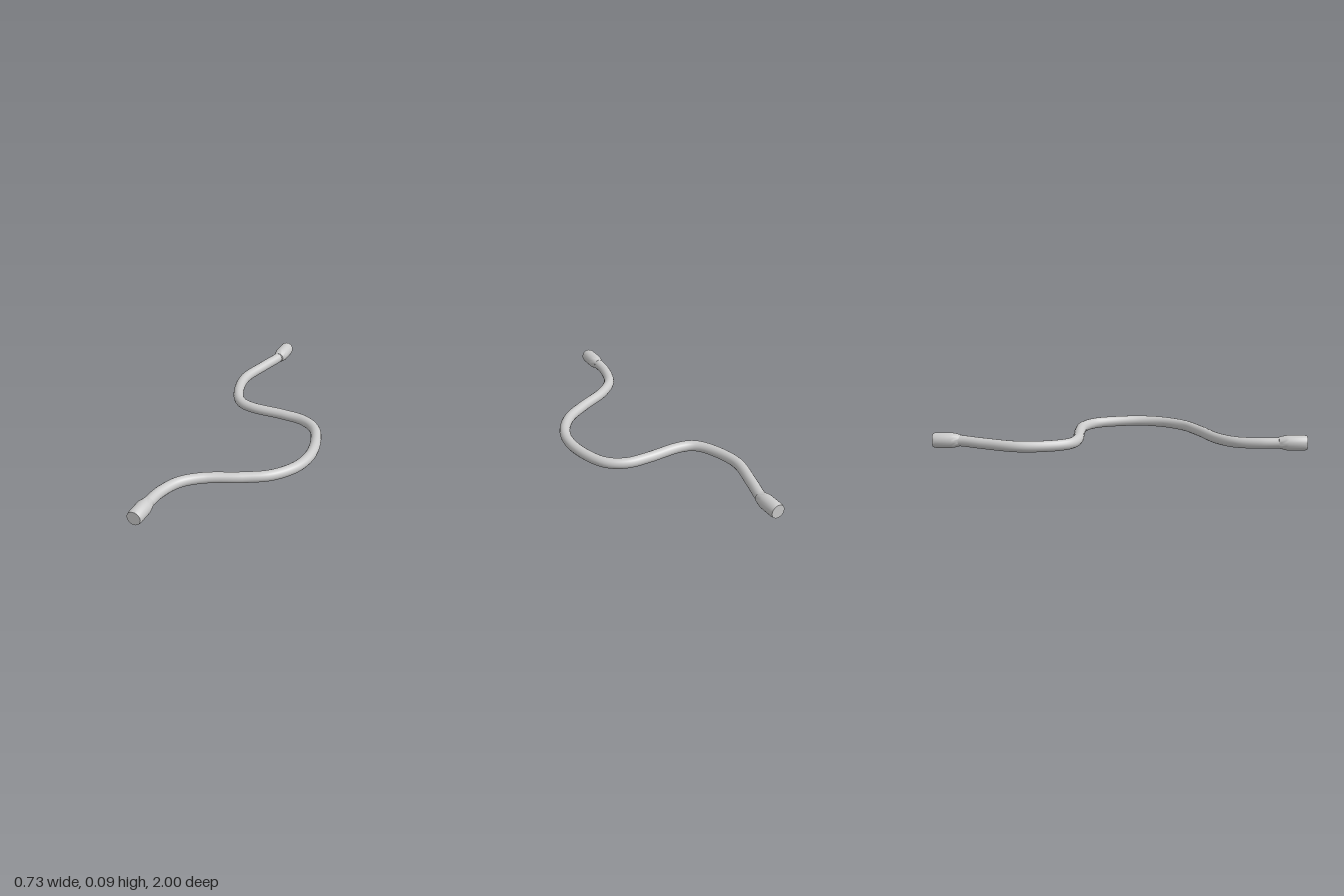
import * as THREE from 'three';
import { toCreasedNormals } from 'three/addons/utils/BufferGeometryUtils.js';

const material = new THREE.MeshStandardMaterial({ color: 0xcccccc });
const TUBE_RADIUS = 0.03;
const END_X = -0.245, END_Y = 0.052;

// Centreline of the bent hose, from the back end to the front end
const path = [
  [END_X, 0.052, -0.9], [-0.25, 0.051, -0.85], [-0.29, 0.047, -0.72],
  [-0.337, 0.043, -0.52], [-0.29, 0.039, -0.33], [-0.235, 0.038, -0.257],
  [-0.155, 0.037, -0.231], [0.04, 0.035, -0.231], [0.165, 0.034, -0.218],
  [0.255, 0.033, -0.16], [0.308, 0.032, -0.05], [0.333, 0.032, 0.11],
  [0.305, 0.032, 0.24], [0.215, 0.033, 0.365], [0.085, 0.034, 0.445],
  [-0.1, 0.037, 0.535], [-0.195, 0.041, 0.625], [-0.238, 0.047, 0.75],
  [END_X, 0.051, 0.85], [END_X, 0.052, 0.9],
].map((p) => new THREE.Vector3(...p));

function makeHose() {
  const curve = new THREE.CatmullRomCurve3(path);
  const mesh = new THREE.Mesh(new THREE.TubeGeometry(curve, 140, TUBE_RADIUS, 16), material);
  mesh.name = 'hose';
  return mesh;
}

// Closed fitting: tapered neck, straight sleeve, small chamfer and flat cap
function makeFitting(name, direction) {
  const profile = [
    [0.022, 0.845], [TUBE_RADIUS, 0.85], [0.033, 0.862], [0.039, 0.885],
    [0.0415, 0.9], [0.0415, 0.985], [0.038, 1], [0, 1],
  ].map(([r, h]) => new THREE.Vector2(r, h));
  const geometry = toCreasedNormals(new THREE.LatheGeometry(profile, 24), 0.6);
  geometry.rotateX(direction * Math.PI / 2);
  const mesh = new THREE.Mesh(geometry, material);
  mesh.position.set(END_X, END_Y, 0);
  mesh.name = name;
  return mesh;
}

export function createModel() {
  const group = new THREE.Group();
  group.name = 'bentHose';
  group.add(makeHose(), makeFitting('frontFitting', 1), makeFitting('backFitting', -1));
  return group;
}
